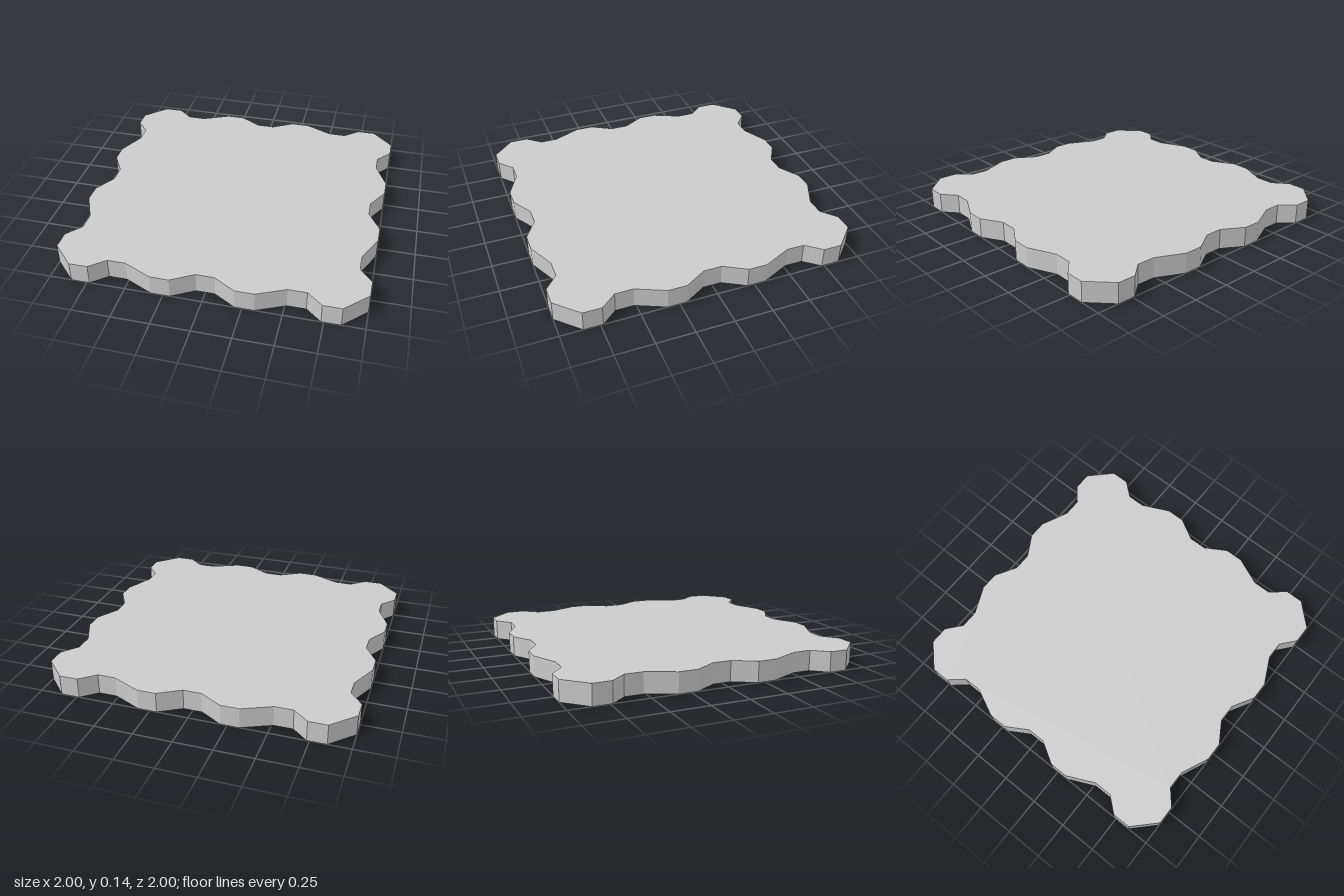
import * as THREE from 'three';

const HEIGHT = 0.135;
const OUTER = 1;
const INNER = 0.915;

// Half of one wavy side, from the corner to the middle: [position along side, distance from centre]
const HALF_SIDE = [
  [0.855, OUTER], [0.733, OUTER], [0.633, INNER], [0.513, INNER],
  [0.328, OUTER], [0.205, OUTER], [0.06, INNER],
];

function createOutline() {
  // Mirror the half to a full side, then turn it around the four sides
  const side = [...HALF_SIDE, ...HALF_SIDE.map(([x, y]) => [-x, y]).reverse()];
  const points = [];
  for (let turn = 0; turn < 4; turn++) {
    for (const [x, y] of side) {
      points.push(new THREE.Vector2(x, y).rotateAround(new THREE.Vector2(), turn * Math.PI / 2));
    }
  }
  return new THREE.Shape(points);
}

export function createModel() {
  const model = new THREE.Group();
  model.name = 'scallopedTile';

  // Flat slab with a notched edge
  const geometry = new THREE.ExtrudeGeometry(createOutline(), { depth: HEIGHT, bevelEnabled: false });
  geometry.rotateX(-Math.PI / 2);
  const slab = new THREE.Mesh(
    geometry,
    new THREE.MeshStandardMaterial({ color: 0xcccccc, flatShading: true }),
  );
  slab.name = 'slab';
  model.add(slab);
  return model;
}
